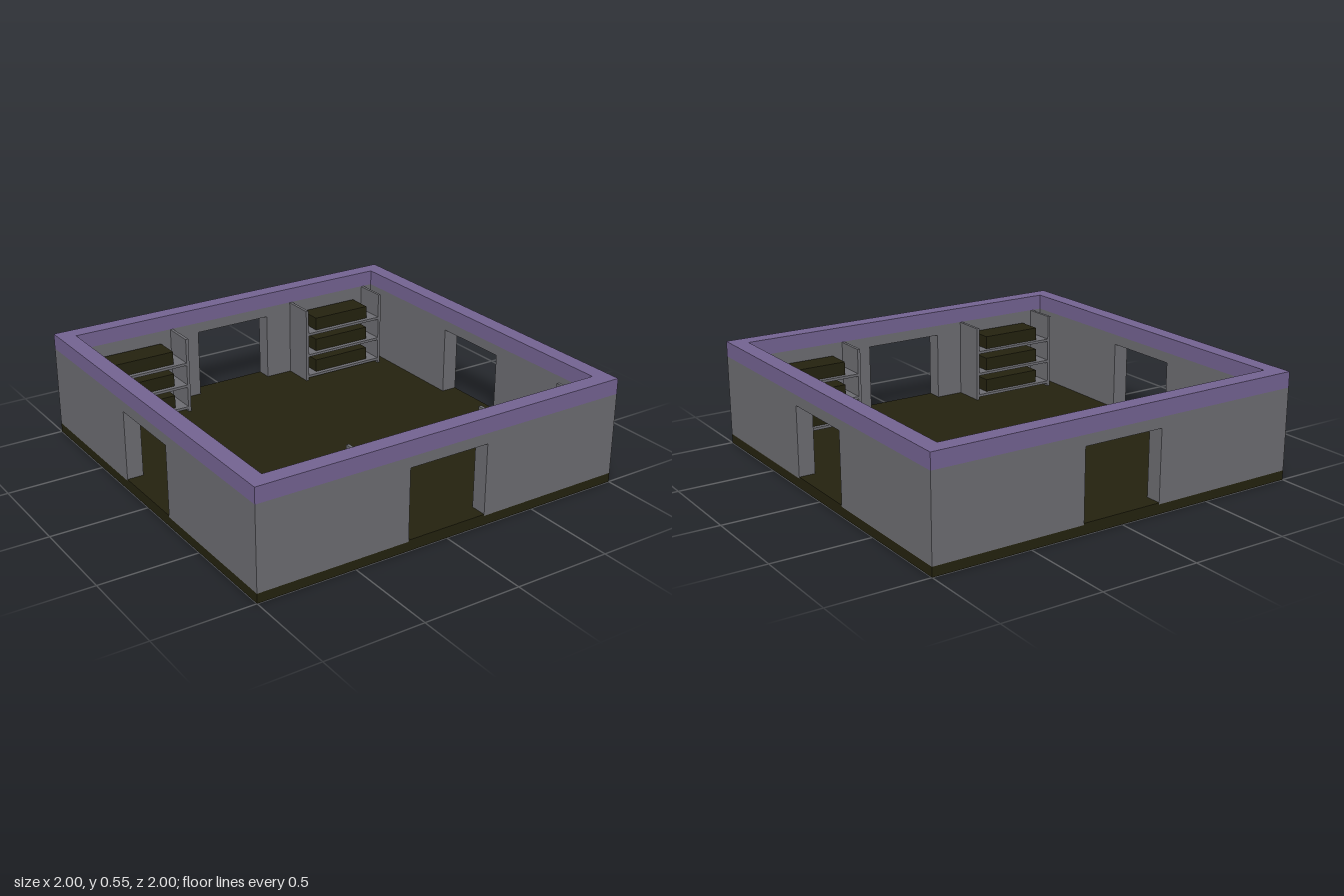
import * as THREE from 'three';

const mat = (name, color) => {
  const m = new THREE.MeshStandardMaterial({ color });
  m.name = name;
  return m;
};

export function createModel() {
  const grey = mat('stone grey', 0x6d6d72);
  const purple = mat('trim purple', 0x746392);
  const dark = mat('dark olive', 0x24220f);
  const model = new THREE.Group();
  model.name = 'room';

  const BASE = 0.048, FLOOR = 0.056, WALL_TOP = 0.47, TOP = 0.55;
  const INNER = 0.915, THICK = 1 - INNER;
  const DOOR = 0.215, DOOR_TOP = 0.416;

  // box given by its minimum and maximum corners
  function box(parent, name, material, [x0, y0, z0], [x1, y1, z1]) {
    const mesh = new THREE.Mesh(new THREE.BoxGeometry(x1 - x0, y1 - y0, z1 - z0), material);
    mesh.position.set((x0 + x1) / 2, (y0 + y1) / 2, (z0 + z1) / 2);
    mesh.name = name;
    parent.add(mesh);
  }

  // foundation slab and slightly raised inner floor
  box(model, 'foundation', dark, [-1, 0, -1], [1, BASE, 1]);
  box(model, 'floor', dark, [-INNER, BASE, -INNER], [INNER, FLOOR, INNER]);

  // four walls, each with a doorway in the middle
  function wall(name, half, angle) {
    const s = new THREE.Shape([
      [-half, BASE], [-DOOR, BASE], [-DOOR, DOOR_TOP], [DOOR, DOOR_TOP],
      [DOOR, BASE], [half, BASE], [half, WALL_TOP], [-half, WALL_TOP],
    ].map(([x, y]) => new THREE.Vector2(x, y)));
    const geo = new THREE.ExtrudeGeometry(s, { depth: THICK, bevelEnabled: false });
    geo.translate(0, 0, INNER);
    const mesh = new THREE.Mesh(geo, grey);
    mesh.rotation.y = angle;
    mesh.name = name;
    model.add(mesh);
    // door sill level with the floor
    const sill = new THREE.Mesh(new THREE.BoxGeometry(DOOR * 2, FLOOR - BASE, THICK), dark);
    sill.position.set(0, (BASE + FLOOR) / 2, INNER + THICK / 2);
    sill.name = 'doorSill';
    const pivot = new THREE.Group();
    pivot.name = name + 'Sill';
    pivot.rotation.y = angle;
    pivot.add(sill);
    model.add(pivot);
  }
  wall('frontWall', 1, 0);
  wall('leftWall', INNER, Math.PI / 2);
  wall('backWall', 1, Math.PI);
  wall('rightWall', INNER, -Math.PI / 2);

  // coloured rim along the top of the walls
  const square = (C, h) => new C([[-h, -h], [h, -h], [h, h], [-h, h]]
    .map(([x, y]) => new THREE.Vector2(x, y)));
  const ring = square(THREE.Shape, 1);
  ring.holes.push(square(THREE.Path, INNER));
  const rimGeo = new THREE.ExtrudeGeometry(ring, { depth: TOP - WALL_TOP, bevelEnabled: false });
  rimGeo.rotateX(-Math.PI / 2);
  rimGeo.translate(0, WALL_TOP, 0);
  const rim = new THREE.Mesh(rimGeo, purple);
  rim.name = 'wallRim';
  model.add(rim);

  // shelf unit: two side panels, three shelves, a crate on each
  function shelfUnit(name, sx, sz) {
    const unit = new THREE.Group();
    unit.name = name;
    const W = 0.25, P = 0.016, D = 0.085;
    for (const s of [-1, 1]) {
      const a = s * W, b = s * (W - P);
      box(unit, 'sidePanel', grey, [Math.min(a, b), FLOOR, -D], [Math.max(a, b), 0.468, D]);
    }
    for (const y of [0.085, 0.21, 0.335]) {
      box(unit, 'shelf', grey, [-W + P, y - 0.014, -D], [W - P, y, D]);
      box(unit, 'crate', dark, [-0.17, y, -0.06], [0.17, y + 0.07, 0.075]);
    }
    unit.position.set(sx * 0.615, 0, sz * (INNER - D));
    if (sz < 0) unit.rotation.y = Math.PI;
    model.add(unit);
  }
  shelfUnit('frontLeftShelf', 1, 1);
  shelfUnit('frontRightShelf', -1, 1);
  shelfUnit('backLeftShelf', 1, -1);
  shelfUnit('backRightShelf', -1, -1);

  return model;
}
